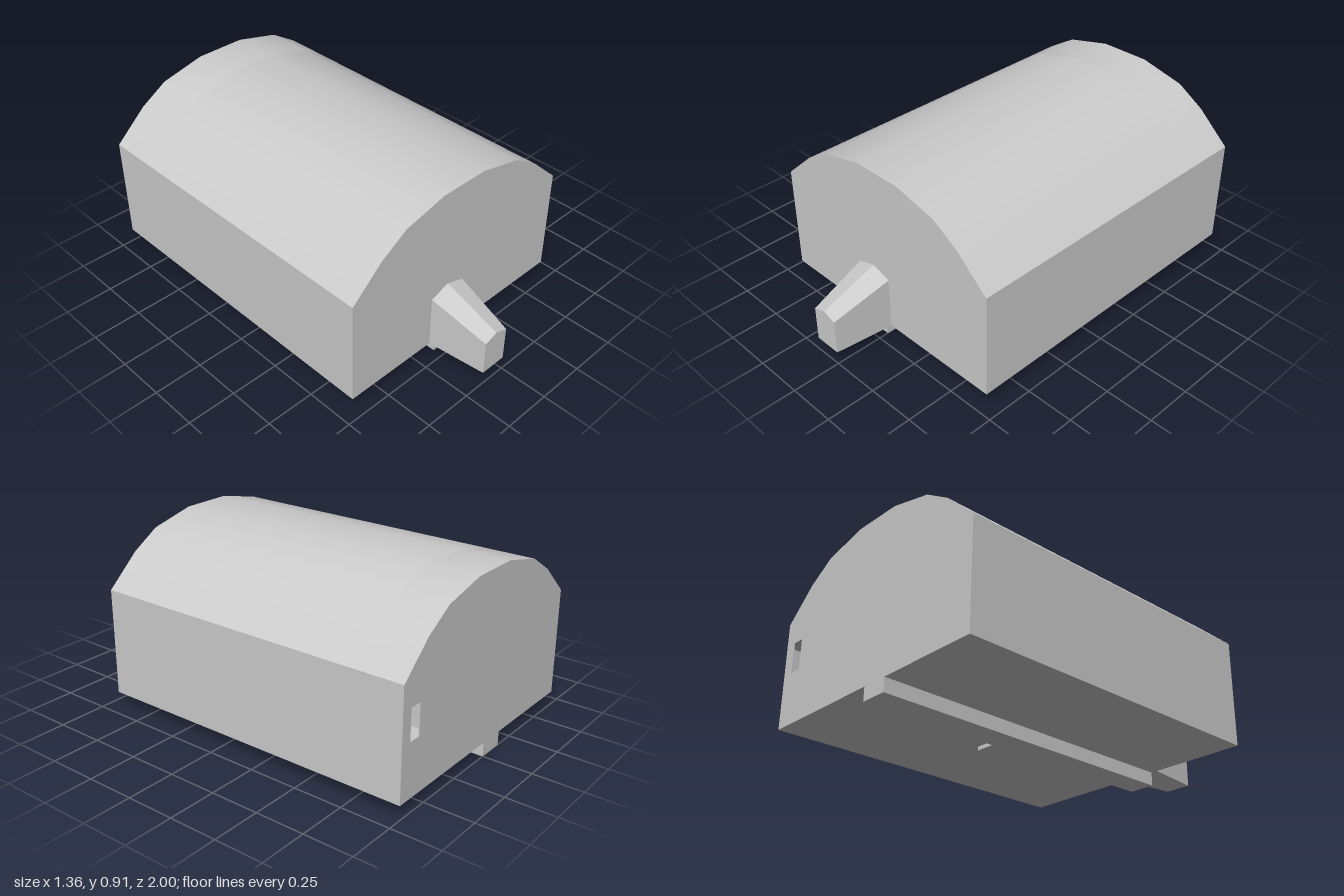
import * as THREE from 'three';
import { toCreasedNormals } from 'three/addons/utils/BufferGeometryUtils.js';
import { ConvexGeometry } from 'three/addons/geometries/ConvexGeometry.js';

const material = new THREE.MeshStandardMaterial({ color: 0xcccccc });

function addMesh(parent, name, geometry) {
  const mesh = new THREE.Mesh(geometry, material);
  mesh.name = name;
  parent.add(mesh);
}

// Box given by its limits on each axis
function addBox(parent, name, [x0, x1], [y0, y1], [z0, z1]) {
  const geometry = new THREE.BoxGeometry(x1 - x0, y1 - y0, z1 - z0);
  geometry.translate((x0 + x1) / 2, (y0 + y1) / 2, (z0 + z1) / 2);
  addMesh(parent, name, geometry);
}

// Slice of the vaulted hall between z0 and z1, optionally pierced by a rectangle
function hallSlice(z0, z1, hole) {
  const half = [[0.68, 0.07], [0.68, 0.617], [0.51, 0.77], [0.367, 0.858], [0.132, 0.913]];
  const outline = [...half, ...half.map(([x, y]) => [-x, y]).reverse()];
  const shape = new THREE.Shape(outline.map(([x, y]) => new THREE.Vector2(x, y)));
  if (hole) {
    const [x0, x1, y0, y1] = hole;
    const corners = [[x0, y0], [x0, y1], [x1, y1], [x1, y0]];
    shape.holes.push(new THREE.Path(corners.map(([x, y]) => new THREE.Vector2(x, y))));
  }
  const geometry = new THREE.ExtrudeGeometry(shape, { depth: z1 - z0, bevelEnabled: false });
  geometry.translate(0, 0, z0);
  return toCreasedNormals(geometry, 0.5);
}

export function createModel() {
  const model = new THREE.Group();
  model.name = 'vaultedHall';

  // Hall: back wall with a small window, the niche behind it, and the main volume
  const hall = new THREE.Group();
  hall.name = 'hall';
  model.add(hall);
  addMesh(hall, 'backWall', hallSlice(-1, -0.995, [0.554, 0.62, 0.34, 0.496]));
  addMesh(hall, 'windowNiche', hallSlice(-0.995, -0.75, [0.5, 0.675, 0.34, 0.496]));
  addMesh(hall, 'mainVolume', hallSlice(-0.75, 0.7));

  // Entrance: gabled pentagon tapering towards the front
  const gable = (z, halfWidth, eave, ridge) =>
    [[-halfWidth, 0.07], [halfWidth, 0.07], [halfWidth, eave], [0, ridge], [-halfWidth, eave]]
      .map(([x, y]) => new THREE.Vector3(x - 0.07, y, z));
  addMesh(model, 'entrance', new ConvexGeometry([
    ...gable(0.7, 0.105, 0.345, 0.379),
    ...gable(1, 0.071, 0.251, 0.275),
  ]));

  // Underside: long keel beam and a thin crossbar beside it
  addBox(model, 'keelBeam', [-0.14, 0], [0, 0.07], [-1, 0.7]);
  addBox(model, 'crossbar', [0, 0.2], [0.05, 0.07], [-0.19, -0.17]);

  return model;
}
